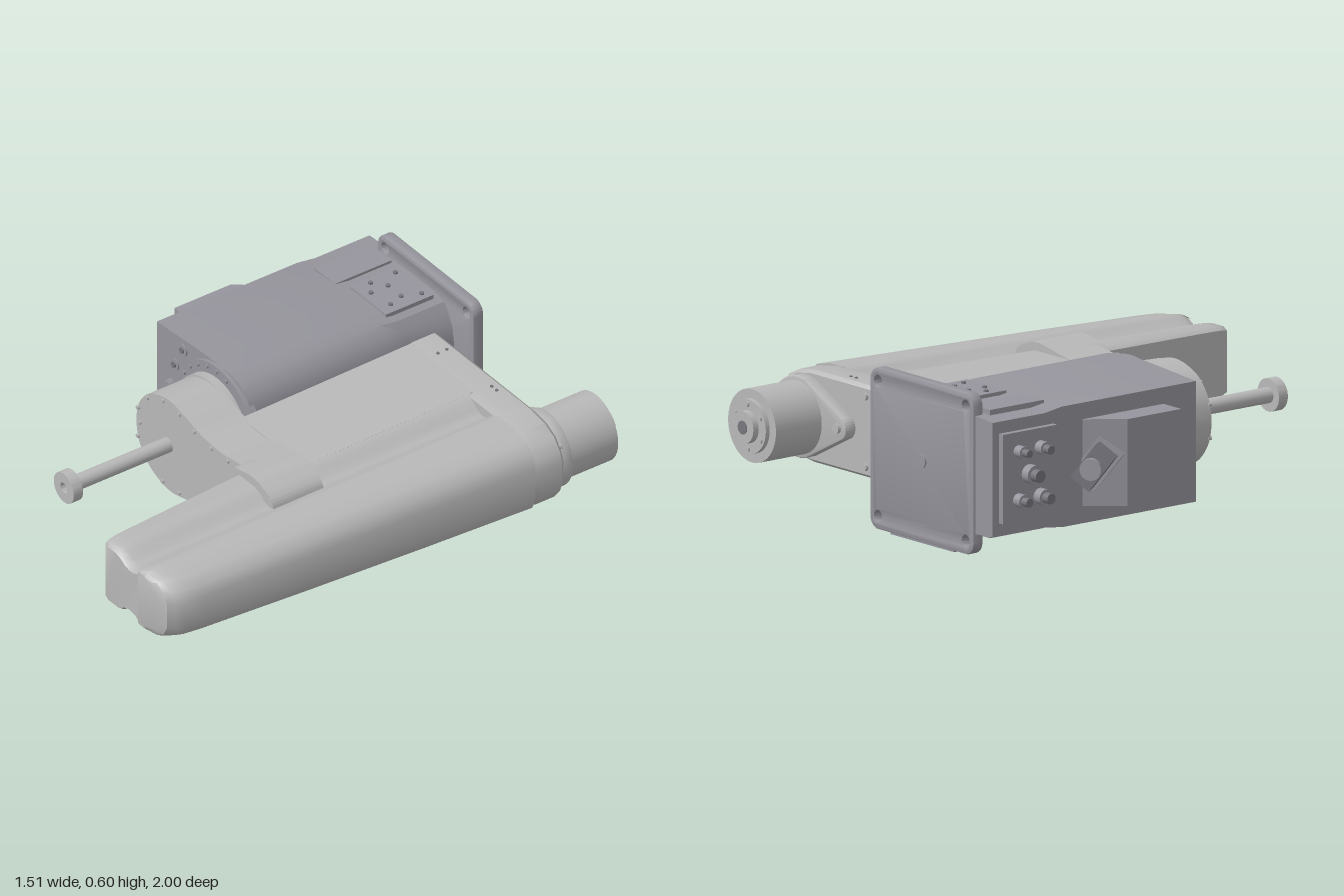
import * as THREE from 'three';
import { mergeVertices, toCreasedNormals } from 'three/addons/utils/BufferGeometryUtils.js';

const CY = 0.304; // height of the machine's symmetry plane
const AX = -0.225; // x of the main joint axis

export function createModel() {
  const root = new THREE.Group();
  const paint = (name, hex) => {
    const m = new THREE.MeshStandardMaterial({ color: hex });
    m.name = name;
    return m;
  };
  const baseGrey = paint('base grey', 0x96959d);
  const armGrey = paint('arm grey', 0xb8b8b8);
  const darkGrey = paint('connector grey', 0x77767d);

  const add = (name, geo, mat, x = 0, y = 0, z = 0) => {
    const m = new THREE.Mesh(geo, mat);
    m.name = name;
    m.position.set(x, y, z);
    root.add(m);
    return m;
  };
  const box = (name, mat, x0, x1, y0, y1, z0, z1) =>
    add(name, new THREE.BoxGeometry(x1 - x0, y1 - y0, z1 - z0), mat, (x0 + x1) / 2, (y0 + y1) / 2, (z0 + z1) / 2);
  // Cylinder lying along z
  const cyl = (name, mat, x, y, r, z0, z1, seg = 40) =>
    add(name, new THREE.CylinderGeometry(r, r, z1 - z0, seg).rotateX(Math.PI / 2), mat, x, y, (z0 + z1) / 2);
  // Cylinder lying along x or standing along y
  const cylX = (name, mat, x0, x1, y, z, r) =>
    add(name, new THREE.CylinderGeometry(r, r, x1 - x0, 20).rotateZ(Math.PI / 2), mat, (x0 + x1) / 2, y, z);
  const cylY = (name, mat, x, z, r, y0, y1) =>
    add(name, new THREE.CylinderGeometry(r, r, y1 - y0, 12), mat, x, (y0 + y1) / 2, z);
  const extrude = (name, mat, shape, z0, z1, bevel = 0) => {
    const g = new THREE.ExtrudeGeometry(shape, {
      depth: z1 - z0 - 2 * bevel, bevelEnabled: bevel > 0, bevelSize: bevel, bevelOffset: -bevel,
      bevelThickness: bevel, bevelSegments: 2, curveSegments: 20,
    });
    return add(name, toCreasedNormals(g, 0.6), mat, 0, 0, z0 + bevel);
  };
  const roundRect = (x0, x1, y0, y1, r) => {
    const s = new THREE.Shape();
    s.absarc(x1 - r, y1 - r, r, 0, Math.PI / 2);
    s.absarc(x0 + r, y1 - r, r, Math.PI / 2, Math.PI);
    s.absarc(x0 + r, y0 + r, r, Math.PI, Math.PI * 1.5);
    s.absarc(x1 - r, y0 + r, r, Math.PI * 1.5, Math.PI * 2);
    return s;
  };
  // Mirrors an upper outline (left to right, y above the symmetry plane) into a closed ring
  const mirrorRing = (top) => [
    ...top.map(([x, y]) => new THREE.Vector2(x, CY - y)),
    ...top.slice().reverse().map(([x, y]) => new THREE.Vector2(x, CY + y)),
  ];
  // Skin through rings at rising z, with both ends closed
  const loft = (name, mat, rings, zs) => {
    const n = rings[0].length, pos = [], idx = [];
    rings.forEach((ring, k) => ring.forEach((p) => pos.push(p.x, p.y, zs[k])));
    for (let k = 0; k + 1 < rings.length; k++) for (let i = 0; i < n; i++) {
      const a = k * n + i, b = k * n + (i + 1) % n;
      idx.push(a, b, b + n, a, b + n, a + n);
    }
    const last = (rings.length - 1) * n;
    for (const [a, b, c] of THREE.ShapeUtils.triangulateShape(rings[0], [])) idx.push(c, b, a);
    for (const [a, b, c] of THREE.ShapeUtils.triangulateShape(rings[rings.length - 1], [])) idx.push(last + a, last + b, last + c);
    const g = new THREE.BufferGeometry();
    g.setAttribute('position', new THREE.Float32BufferAttribute(pos, 3));
    g.setIndex(idx);
    return add(name, toCreasedNormals(mergeVertices(g), 0.65), mat);
  };

  // Mounting plate with four corner holes
  const plate = roundRect(-0.515, 0.07, 0.006, 0.6, 0.045);
  for (const x of [-0.47, 0.025]) for (const y of [0.055, 0.552]) {
    const hole = new THREE.Path();
    hole.absarc(x, y, 0.021, 0, Math.PI * 2, true);
    plate.holes.push(hole);
  }
  extrude('mountingPlate', baseGrey, plate, -0.83, -0.785, 0.006);
  box('plateFoot', baseGrey, -0.4, -0.04, 0, 0.02, -0.825, -0.79);
  cyl('plateCentreBoss', baseGrey, AX, CY, 0.025, -0.836, -0.82, 24);

  // Base housing: flat on the left, rounded on the right
  const housing = [[-0.612, 0.222], [-0.38, 0.24], [-0.3, 0.245], [-0.17, 0.245], [-0.11, 0.232],
    [-0.065, 0.2], [-0.038, 0.15], [-0.03, 0.09]];
  const slim = housing.map(([x, y]) => [x > -0.1 ? x - 0.02 : x, y - 0.012]);
  loft('baseHousing', baseGrey,
    [mirrorRing(slim), mirrorRing(slim), mirrorRing(housing), mirrorRing(housing)],
    [-0.82, -0.58, -0.5, 0.12]);
  for (const s of [1, -1]) {
    const side = (a) => CY + s * a;
    const span = (a, b) => (s > 0 ? [side(a), side(b)] : [side(b), side(a)]);
    box('sidePad', baseGrey, -0.535, -0.41, ...span(0.2, 0.236), -0.77, -0.52);
    box('accessCover', baseGrey, -0.36, -0.14, ...span(0.2, 0.243), -0.76, -0.55);
    for (const [x, z] of [[-0.33, -0.73], [-0.17, -0.73], [-0.33, -0.62], [-0.28, -0.66], [-0.2, -0.66], [-0.28, -0.585], [-0.18, -0.6]])
      cylY('coverScrew', darkGrey, x, z, 0.009, ...span(0.24, 0.25));
    // Screws on the base front face
    for (const [x, a] of [[-0.45, 0.19], [-0.5, 0.1]]) {
      cyl('frontScrewSeat', baseGrey, x, side(a), 0.024, 0.11, 0.126, 20);
      cyl('frontScrew', darkGrey, x, side(a), 0.012, 0.12, 0.132, 12);
    }
  }
  cyl('frontPlug', baseGrey, -0.52, CY, 0.023, 0.11, 0.145, 20);

  // Joint ring between base and first arm
  cyl('jointFlange', baseGrey, AX, CY, 0.245, 0.1, 0.135, 64);
  cyl('jointNeck', armGrey, AX, CY, 0.2, 0.13, 0.17, 64);
  for (let i = 0; i < 24; i++) {
    const a = (i / 24) * Math.PI * 2;
    if (Math.abs(Math.sin(a / 2)) < 0.5) continue;
    cyl('flangeBolt', baseGrey, AX + 0.228 * Math.cos(a), CY + 0.228 * Math.sin(a), 0.008, 0.13, 0.143, 8);
  }

  // Cable box on the left of the base, sloped at its rear
  const cable = new THREE.Shape([[-0.6, 0.03], [-0.713, 0.03], [-0.713, 0.28], [-0.6, 0.42]]
    .map(([x, z]) => new THREE.Vector2(x, z)));
  const cableBox = extrude('cableBox', baseGrey, cable, 0, 0.32);
  cableBox.geometry.rotateX(-Math.PI / 2);
  cableBox.position.set(0, 0.145, 0);
  const socket = new THREE.Group();
  socket.name = 'angledConnector';
  const part = (geo, mat, y) => {
    const m = new THREE.Mesh(geo, mat);
    m.name = 'connectorPart';
    m.position.y = y;
    socket.add(m);
  };
  part(new THREE.BoxGeometry(0.11, 0.04, 0.17), baseGrey, 0);
  part(new THREE.BoxGeometry(0.085, 0.09, 0.15), darkGrey, 0.05);
  part(new THREE.CylinderGeometry(0.04, 0.04, 0.03, 24), baseGrey, 0.1);
  socket.position.set(-0.645, CY, -0.36);
  socket.rotation.set(0, 0, 0);
  socket.quaternion.setFromUnitVectors(new THREE.Vector3(0, 1, 0), new THREE.Vector3(-0.6, 0, -0.8).normalize());
  root.add(socket);

  // Connector panel beside the plate
  box('connectorPanel', baseGrey, -0.635, -0.6, 0.14, 0.47, -0.79, -0.54);
  for (const [y, z, r] of [[0.22, -0.72, 0.025], [0.22, -0.62, 0.03], [0.31, -0.67, 0.035], [0.4, -0.72, 0.022], [0.4, -0.62, 0.025]]) {
    cylX('panelSocket', baseGrey, -0.67, -0.63, y, z, r);
    cylX('panelSocketTip', darkGrey, -0.7, -0.66, y, z, r * 0.65);
  }

  // First arm: two round ends joined by a narrow waist
  const armTop = new THREE.SplineCurve([[-0.42, 0], [-0.4, 0.085], [-0.335, 0.16], [-0.225, 0.196], [-0.12, 0.18],
    [-0.02, 0.155], [0.1, 0.148], [0.2, 0.162], [0.33, 0.184], [0.4, 0.168], [0.44, 0.145], [0.455, 0.12]]
    .map(([x, y]) => new THREE.Vector2(x, y))).getPoints(60);
  const armRing = mirrorRing(armTop.slice(1).map((p) => [p.x, p.y]));
  loft('firstArm', armGrey, [armRing, armRing], [0.158, 0.352]);
  // Joint end of the first arm, standing a little proud
  const elbow = armTop.filter((p) => p.x > 0.2).map((p) => [p.x, p.y]);
  const elbowRing = mirrorRing([[0.135, 0.03], [0.15, 0.09], [0.18, 0.13], ...elbow]);
  loft('elbowCap', armGrey, [elbowRing, elbowRing], [0.3, 0.38]);
  for (const p of armTop.filter((q, i) => i > 2 && i % 5 === 0 && q.x < 0.2)) for (const s of [1, -1])
    cyl('armBolt', armGrey, p.x, CY + s * (p.y - 0.016), 0.008, 0.345, 0.36, 10);
  for (const [x, y] of [[-0.395, CY], [0.145, 0.22], [0.175, 0.165]])
    cyl('armPlug', armGrey, x, y, x > 0 ? 0.018 : 0.008, 0.34, x > 0 ? 0.386 : 0.36, 16);

  // Tool shaft with end disc
  cyl('shaft', armGrey, AX, CY, 0.029, 0.34, 0.78);
  const disc = new THREE.Shape();
  disc.absarc(AX, CY, 0.061, 0, Math.PI * 2);
  const bore = new THREE.Path();
  bore.absarc(AX, CY, 0.021, 0, Math.PI * 2, true);
  disc.holes.push(bore);
  extrude('shaftDisc', armGrey, disc, 0.772, 0.813);

  // Second arm: flat inner body
  const slab = (h) => mirrorRing([[-0.045, h - 0.015], [-0.03, h], [0.345, h]]);
  loft('innerBody', armGrey, [slab(0.169), slab(0.152)], [-0.66, 0.17]);

  // Second arm: long tapering cover with a groove above and below
  const cover = (xl, xr, h) => mirrorRing([[xl, h * 0.9], [xl + 0.02, h], [0.345, h], [0.375, h * 0.93], [0.4, h * 0.8],
    [0.43, h * 0.74], [0.46, h * 0.78], [0.49, h * 0.94], [0.52, h], [xr - 0.13, h * 0.99], [xr - 0.06, h * 0.9],
    [xr - 0.02, h * 0.7], [xr, h * 0.4]]);
  const stations = [[-0.57, 0.23, 0.745, 0.167], [-0.1, 0.23, 0.728, 0.157], [0.38, 0.23, 0.705, 0.148],
    [0.85, 0.255, 0.68, 0.137], [0.92, 0.258, 0.672, 0.135], [0.96, 0.262, 0.655, 0.132],
    [0.985, 0.268, 0.64, 0.126], [0.996, 0.28, 0.61, 0.115]];
  const longCover = loft('longCover', armGrey, stations.map(([, l, r, h]) => cover(l, r, h)), stations.map((s) => s[0]));
  longCover.material = armGrey;

  // Rear flange of the second arm
  const rear = (d) => mirrorRing([[-0.048 + d, 0.155 - d], [-0.03 + d, 0.17 - d], [0.56, 0.17 - d], [0.64, 0.158 - d],
    [0.7 - d, 0.13 - d], [0.735 - d, 0.085 - d], [0.748 - d, 0.045 - d / 2]]);
  loft('rearFlange', armGrey, [rear(0.012), rear(0), rear(0), rear(0.008)], [-0.7, -0.685, -0.6, -0.56]);
  for (const s of [1, -1]) for (const [x, z] of [[0.08, -0.66], [0.08, -0.62], [0.36, -0.655], [0.39, -0.655]])
    cylY('flangeScrew', darkGrey, x, z, 0.006, CY + s * 0.17 - 0.004, CY + s * 0.17 + 0.004);
  for (const s of [1, -1]) for (const x of [0.05, 0.25, 0.7])
    cyl('rearScrew', armGrey, x, CY + s * (x > 0.5 ? 0.08 : 0.13), 0.014, -0.712, -0.69, 12);

  // Motor mount and motor
  const mount = new THREE.Shape();
  mount.absarc(0.585, CY, 0.15, -1.95, 1.95);
  mount.absarc(0.355, CY, 0.045, 1.95, Math.PI * 2 - 1.95);
  extrude('motorMount', armGrey, mount, -0.745, -0.69, 0.005);
  cyl('mountBolt', armGrey, 0.355, CY, 0.018, -0.757, -0.74, 16);
  cyl('motor', armGrey, 0.58, CY, 0.135, -0.957, -0.74, 56);
  cyl('motorCap', armGrey, 0.58, CY, 0.1, -0.975, -0.95, 40);
  cyl('motorHub', armGrey, 0.58, CY, 0.06, -1, -0.97, 32);
  cyl('motorHubCentre', darkGrey, 0.58, CY, 0.025, -1.003, -0.99, 20);
  for (let i = 0; i < 6; i++) {
    const a = (i / 6) * Math.PI * 2 + 0.5;
    cyl('motorBolt', armGrey, 0.58 + 0.082 * Math.cos(a), CY + 0.082 * Math.sin(a), 0.01, -0.983, -0.97, 10);
  }
  return root;
}
